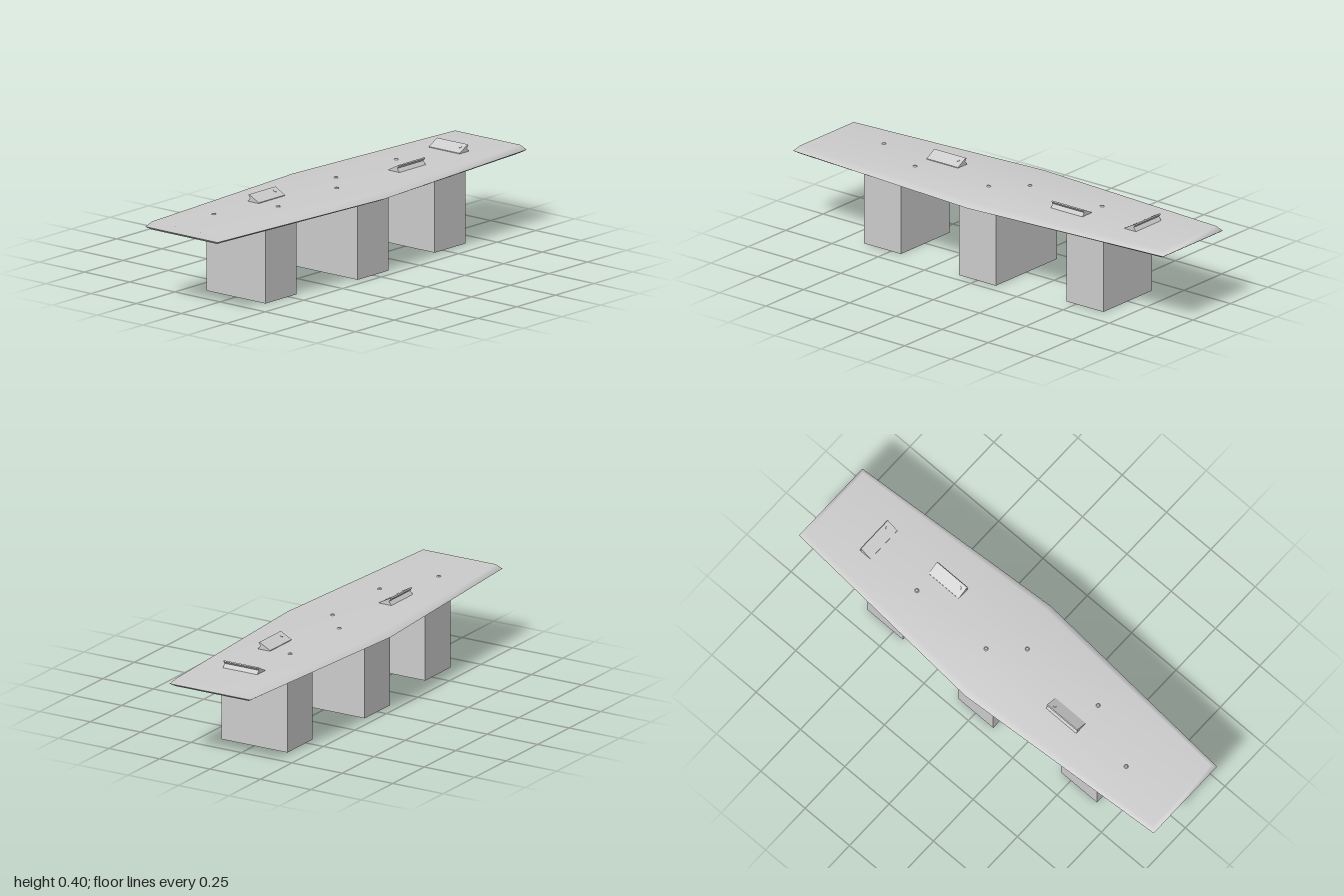
import * as THREE from 'three';

const material = new THREE.MeshStandardMaterial({ color: 0xcccccc });
const flatMaterial = new THREE.MeshStandardMaterial({ color: 0xcccccc, flatShading: true });
const TOP = 0.365, RIM = 0.343, UNDER = 0.33;

function addMesh(parent, name, geometry, mat, x = 0, y = 0, z = 0) {
  const mesh = new THREE.Mesh(geometry, mat);
  mesh.name = name;
  mesh.position.set(x, y, z);
  parent.add(mesh);
  return mesh;
}

// Six-sided boat outline, counterclockwise seen from above
function outline(end, middle, length, y) {
  return [[end, length], [middle, 0], [end, -length], [-end, -length], [-middle, 0], [-end, length]]
    .map(([x, z]) => [x, y, z]);
}

// Bevelled shell from the rim to a flat face closed by a fan
function shell(rim, face, y, flip) {
  const n = rim.length, index = [];
  const tri = (a, b, c) => index.push(...(flip ? [a, c, b] : [a, b, c]));
  for (let i = 0; i < n; i++) {
    const j = (i + 1) % n;
    tri(i, j, n + j);
    tri(i, n + j, n + i);
    tri(2 * n, n + i, n + j);
  }
  const geometry = new THREE.BufferGeometry();
  const points = [...rim, ...face, [0, y, 0]].flat();
  geometry.setAttribute('position', new THREE.Float32BufferAttribute(points, 3));
  geometry.setIndex(index);
  geometry.computeVertexNormals();
  return geometry;
}

// Sloped touch panel on a pinched foot, with its slope facing +z
function controlPanel() {
  const group = new THREE.Group();
  group.name = 'controlPanel';
  const length = 0.17;
  const profile = new THREE.Shape([
    [-0.03, 0], [0.03, 0], [0.018, 0.016], [0.027, 0.027], [0.023, 0.031], [-0.03, 0.003],
  ].map(([u, v]) => new THREE.Vector2(u, v)));
  const body = new THREE.ExtrudeGeometry(profile, { depth: length, bevelEnabled: false });
  body.translate(0, 0, -length / 2).rotateY(Math.PI / 2);
  addMesh(group, 'panelBody', body, flatMaterial);
  const button = addMesh(group, 'panelButton',
    new THREE.CylinderGeometry(0.008, 0.009, 0.003, 10), flatMaterial, 0.06, 0.0205, -0.004);
  button.rotation.x = Math.atan2(0.028, 0.053);
  return group;
}

export function createModel() {
  const model = new THREE.Group();
  model.name = 'conferenceTable';

  // Tabletop with bevels above and below the rim
  const rim = outline(0.2, 0.27, 1, RIM);
  addMesh(model, 'tabletopUpper', shell(rim, outline(0.18, 0.24, 0.98, TOP), TOP, false), material);
  addMesh(model, 'tabletopUnderside', shell(rim, outline(0.18, 0.24, 0.98, UNDER), UNDER, true), flatMaterial);

  // Three pedestals, the middle one wider
  for (const [width, z] of [[0.326, 0.547], [0.41, 0], [0.326, -0.547]])
    addMesh(model, 'pedestal', new THREE.BoxGeometry(width, UNDER, 0.2), flatMaterial, 0, UNDER / 2, z);

  // Control panels facing the seats
  for (const [x, z, turn] of [[0, -0.73, 0], [0.06, -0.39, -Math.PI / 2], [-0.06, 0.38, Math.PI / 2]]) {
    const panel = controlPanel();
    panel.position.set(x, TOP, z);
    panel.rotation.y = turn;
    model.add(panel);
  }

  // Small studs set into the tabletop
  for (const [x, z] of [[-0.06, 0.72], [0.065, 0.45], [0.055, 0.06], [-0.06, -0.07], [-0.06, -0.46]])
    addMesh(model, 'stud', new THREE.CylinderGeometry(0.006, 0.01, 0.005, 10), material, x, TOP + 0.002, z);

  return model;
}
